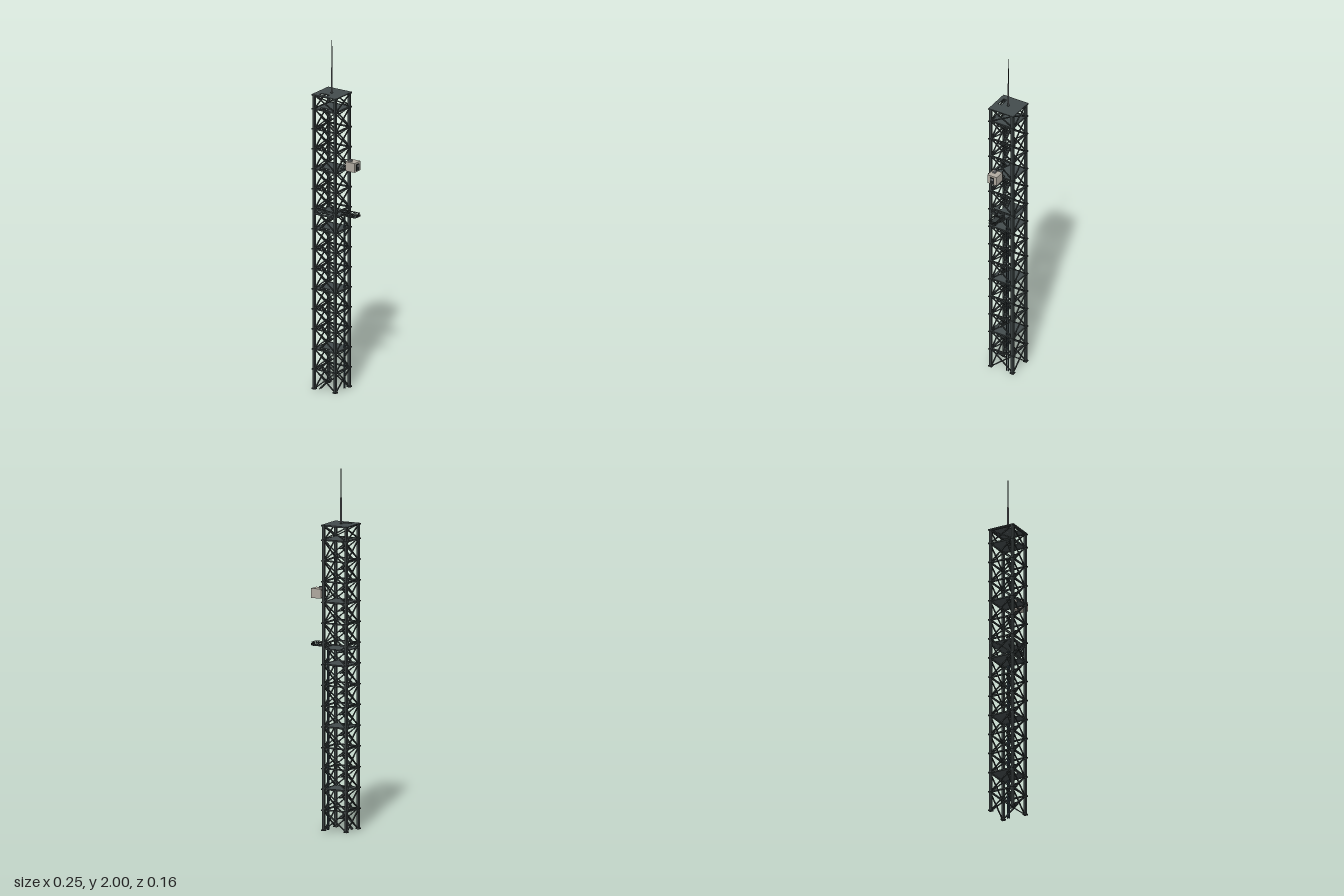
import * as THREE from 'three';

const material = (name, color) => {
  const m = new THREE.MeshStandardMaterial({ color });
  m.name = name;
  return m;
};

export function createModel() {
  const model = new THREE.Group();
  model.name = 'latticeTower';
  const steel = material('dark steel', 0x363d3d);
  const plate = material('deck plate', 0x434b4c);
  const beige = material('cabin beige', 0xb0aaa0);
  const grey = material('mid grey', 0x75777a);
  const black = material('dark opening', 0x202424);
  const cable = material('cable blue grey', 0x2f3b42);

  const group = (name, parent = model) => {
    const g = new THREE.Group();
    g.name = name;
    parent.add(g);
    return g;
  };
  const box = (parent, name, w, h, d, x, y, z, mat) => {
    const m = new THREE.Mesh(new THREE.BoxGeometry(w, h, d), mat);
    m.name = name;
    m.position.set(x, y, z);
    parent.add(m);
    return m;
  };
  // Square bar between two points
  const bar = (parent, name, a, b, t, mat = steel, t2 = t) => {
    const p = new THREE.Vector3(...a), q = new THREE.Vector3(...b);
    const m = new THREE.Mesh(new THREE.BoxGeometry(t, t2, p.distanceTo(q)), mat);
    m.name = name;
    m.position.copy(p).add(q).multiplyScalar(0.5);
    m.lookAt(q);
    parent.add(m);
    return m;
  };

  const tower = group('tower');
  tower.position.x = -0.047;
  const R = 0.069, TOP = 1.69, STEP = 0.115;
  const levels = [];
  for (let i = 0; i <= 14; i++) levels.push(i * STEP);
  levels.push(TOP);

  // Corner legs with splice plates at each level
  const legs = group('cornerLegs', tower);
  for (const sx of [-1, 1]) for (const sz of [-1, 1]) {
    box(legs, 'leg', 0.014, TOP, 0.014, sx * R, TOP / 2, sz * R, steel);
    levels.forEach((y) => box(legs, 'splicePlate', 0.022, 0.007, 0.022,
      sx * R, Math.min(Math.max(y, 0.0035), TOP), sz * R, steel));
  }

  // Four identical braced faces
  for (let f = 0; f < 4; f++) {
    const face = group('bracedFace', tower);
    face.rotation.y = f * Math.PI / 2;
    for (let i = 0; i < levels.length; i++) {
      const y = levels[i];
      if (i > 0) bar(face, 'girt', [-R, y, R], [R, y, R], 0.008);
      if (i === levels.length - 1) continue;
      const y2 = levels[i + 1], e = R - 0.005;
      bar(face, 'brace', [-e, y + 0.005, R + 0.003], [e, y2 - 0.005, R + 0.003], 0.006);
      bar(face, 'brace', [e, y + 0.005, R - 0.003], [-e, y2 - 0.005, R - 0.003], 0.006);
      box(face, 'braceGusset', 0.012, 0.012, 0.003, 0, (y + y2) / 2, R, steel);
    }
  }

  // Decks with a stair hatch cut out
  const deck = (y, half) => {
    const s = new THREE.Shape([[-half, -half], [half, -half], [half, half], [-half, half]]
      .map(([a, b]) => new THREE.Vector2(a, b)));
    s.holes.push(new THREE.Path([[-0.044, 0.036], [-0.044, 0.057], [0.013, 0.057], [0.013, 0.036]]
      .map(([a, b]) => new THREE.Vector2(a, b))));
    const m = new THREE.Mesh(new THREE.ExtrudeGeometry(s, { depth: 0.005, bevelEnabled: false }), plate);
    m.geometry.rotateX(Math.PI / 2);
    m.name = 'deck';
    m.position.y = y;
    tower.add(m);
  };
  [2, 5, 8, 11, 14].forEach((i) => deck(levels[i] + 0.003, 0.072));
  deck(1.01, 0.076);
  deck(TOP + 0.005, 0.079);

  // Zigzag stair: two flights per bay
  const stairs = group('stairs', tower);
  for (let i = 0; i < 14; i++) for (let k = 0; k < 2; k++) {
    const y = i * STEP + k * STEP / 2, dir = k ? -1 : 1, z = k ? 0.025 : 0.048;
    const x0 = -0.016 - dir * 0.028, x1 = -0.016 + dir * 0.028;
    bar(stairs, 'flight', [x0, y, z], [x1, y + STEP / 2, z], 0.017, steel, 0.003);
    for (const s of [-1, 1])
      bar(stairs, 'stringer', [x0, y, z + s * 0.0085], [x1, y + STEP / 2, z + s * 0.0085], 0.002, steel, 0.006);
    for (let n = 1; n < 6; n++)
      box(stairs, 'tread', 0.009, 0.002, 0.016, x0 + (x1 - x0) * n / 6, y + STEP / 2 * n / 6 + 0.002, z, steel);
    box(stairs, 'landing', 0.012, 0.003, 0.042, x1 + dir * 0.004, y + STEP / 2, 0.0365, steel);
  }

  // Cable run down from the service deck
  for (const z of [-0.027, -0.037]) bar(tower, 'cable', [0.062, 0, z], [0.062, 1.01, z], 0.005, cable);

  // Mast
  const mast = group('mast', tower);
  for (const [name, r0, r1, y0, y1, mat] of [
    ['mastBase', 0.008, 0.006, TOP, TOP + 0.012, steel],
    ['lowerMast', 0.0045, 0.0045, TOP, 1.84, grey],
    ['upperMast', 0.003, 0.002, 1.84, 2, steel]]) {
    const m = new THREE.Mesh(new THREE.CylinderGeometry(r1, r0, y1 - y0, 8), mat);
    m.name = name;
    m.position.y = (y0 + y1) / 2;
    mast.add(m);
  }

  // Side cabin and its open bracket
  const cabin = group('sideCabin');
  box(cabin, 'cabinBody', 0.061, 0.053, 0.058, 0.0925, 1.302, 0, beige);
  box(cabin, 'roofVent', 0.021, 0.01, 0.015, 0.081, 1.332, 0.008, grey);
  box(cabin, 'window', 0.004, 0.038, 0.026, 0.1235, 1.3, 0, black);
  box(cabin, 'windowPane', 0.002, 0.012, 0.016, 0.126, 1.308, 0, grey);
  for (const z of [-0.02, 0.02]) {
    for (const y of [1.28, 1.322]) bar(cabin, 'bracketRail', [0.022, y, z], [0.064, y, z], 0.003);
    bar(cabin, 'bracketBrace', [0.024, 1.28, z], [0.063, 1.322, z], 0.002);
    bar(cabin, 'bracketPost', [0.045, 1.28, z], [0.045, 1.322, z], 0.002);
  }

  // Projecting lattice arm
  const arm = group('sideArm');
  const W = 0.021, Y0 = 1.012, Y1 = 1.03;
  box(arm, 'armFloor', 0.095, 0.004, 2 * W, 0.0755, Y0, 0, steel);
  for (const z of [-W, W]) {
    for (const y of [Y0, Y1]) bar(arm, 'armRail', [0.025, y, z], [0.123, y, z], 0.004);
    for (let i = 0; i < 5; i++) {
      const x = 0.03 + i * 0.0185;
      bar(arm, 'armPost', [x, Y0, z], [x, Y1, z], 0.003);
      bar(arm, 'armBrace', [x, i % 2 ? Y1 : Y0, z], [x + 0.0185, i % 2 ? Y0 : Y1, z], 0.0025);
    }
  }
  for (const x of [0.03, 0.067, 0.122]) bar(arm, 'armCrossbar', [x, Y1, -W], [x, Y1, W], 0.003);
  bar(arm, 'armTie', [0.03, Y1, -W], [0.067, Y1, 0], 0.003);
  bar(arm, 'armTie', [0.03, Y1, W], [0.067, Y1, 0], 0.003);
  box(arm, 'endStop', 0.004, 0.012, 0.03, 0.125, 1.018, -0.007, black);

  return model;
}
